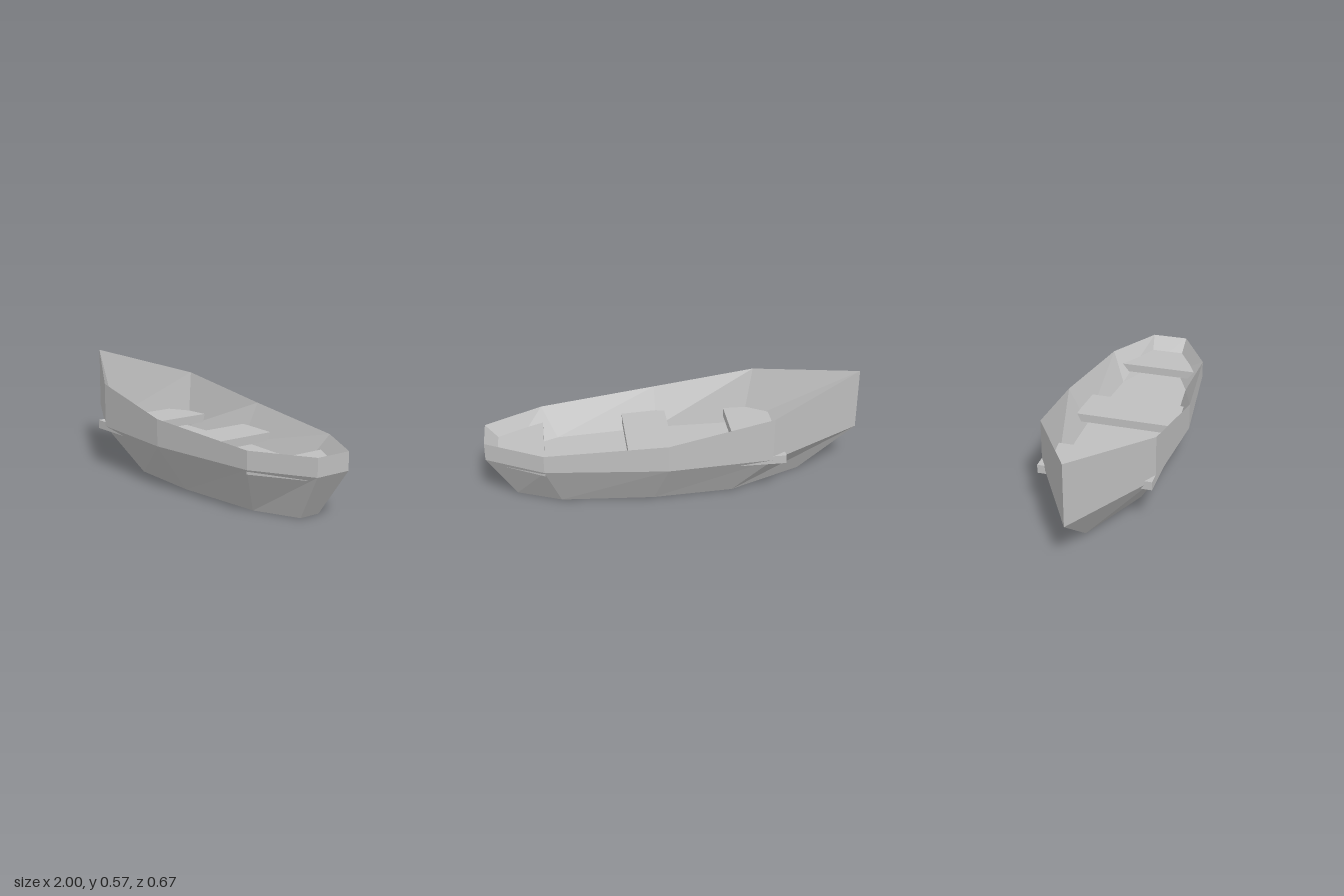
import * as THREE from 'three';

const wood = new THREE.MeshStandardMaterial({ color: 0xbfbfbf, flatShading: true });
wood.name = 'pale grey';

// Closed outline from the bow point (-x) round the +z side, the transom and the -z side.
const ring = (half) => [
  ...half,
  ...half.slice(1).reverse().map(([x, y, z]) => [x, y, -z]),
];

// Walls between successive rings; caps are fans over a single ring.
function geometryFrom(triangles) {
  const geo = new THREE.BufferGeometry();
  geo.setAttribute('position', new THREE.Float32BufferAttribute(triangles.flat(2), 3));
  geo.computeVertexNormals();
  return geo;
}

function walls(lower, upper) {
  const out = [];
  lower.forEach((a, i) => {
    const j = (i + 1) % lower.length;
    out.push([a, lower[j], upper[j]], [a, upper[j], upper[i]]);
  });
  return out;
}

function cap(points, up) {
  const out = [];
  for (let i = 1; i < points.length - 1; i++) {
    out.push(up ? [points[0], points[i], points[i + 1]] : [points[0], points[i + 1], points[i]]);
  }
  return out;
}

export function createModel() {
  const boat = new THREE.Group();
  boat.name = 'rowingBoat';
  const add = (name, geo) => {
    const mesh = new THREE.Mesh(geo, wood);
    mesh.name = name;
    boat.add(mesh);
    return mesh;
  };

  // Gunwale from bow to transom, with the chine and bottom derived from it
  const rimHalf = [
    [-1, 0.575, 0], [-0.48, 0.478, 0.297], [0.07, 0.383, 0.337], [0.7, 0.335, 0.27], [1, 0.335, 0.1],
  ];
  const rim = ring(rimHalf);
  const chine = ring(rimHalf.map(([x, , z]) => [x, 0.24, z]));
  const bottom = ring(rimHalf.map(([x, , z]) => [x * 0.77 + 0.08, 0, z * 0.59]));
  const floor = ring([
    [-0.85, 0.18, 0], [-0.42, 0.18, 0.235], [0.07, 0.18, 0.237], [0.62, 0.18, 0.19], [0.86, 0.18, 0.08],
  ]);

  add('hullBottom', geometryFrom(cap(bottom, false)));
  add('lowerHull', geometryFrom(walls(bottom, chine)));
  add('upperHull', geometryFrom(walls(chine, rim)));
  add('innerWalls', geometryFrom(walls(rim, floor)));
  add('floor', geometryFrom(cap(floor, true)));

  // Plank seats; the forward one reaches through the hull sides
  const y0 = 0.217, y1 = 0.263;
  for (const [name, x] of [['bowSeat', -0.43], ['middleSeat', 0.14]]) {
    add(name, new THREE.BoxGeometry(0.24, y1 - y0, 0.594)).position.set(x, (y0 + y1) / 2, 0);
  }

  // Tapered stern seat
  const outline = (y) => [[0.695, y, -0.267], [0.695, y, 0.267], [0.95, y, 0.115], [0.95, y, -0.115]];
  const low = outline(y0), high = outline(y1);
  add('sternSeat', geometryFrom([...walls(low, high), ...cap(high, true), ...cap(low, false)]));

  return boat;
}
